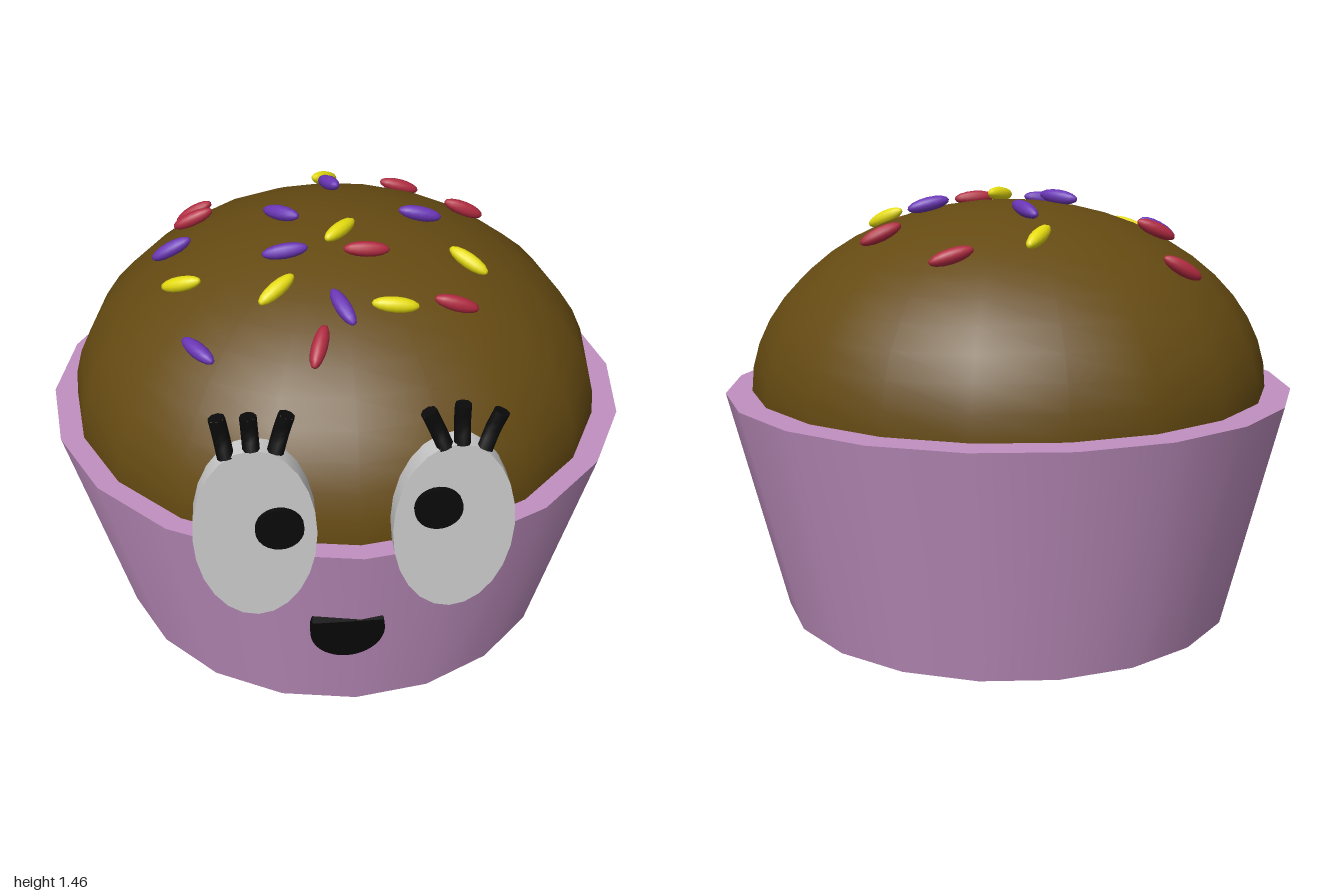
import * as THREE from 'three';

const paint = (color) => new THREE.MeshStandardMaterial({ color });
const pink = paint(0xc090c0), brown = paint(0x654a12), grey = paint(0xcccccc), black = paint(0x0a0a0a);
const red = paint(0xb02a40), yellow = paint(0xe6dc10), purple = paint(0x6a35b5);

const CUP = { top: 0.99, bottom: 0.8, height: 0.78, z: -0.01 };
const DOME = { x: -0.005, z: 0.012, r: 0.905, h: 0.645 };

function add(parent, name, geometry, material, x = 0, y = 0, z = 0) {
  const mesh = new THREE.Mesh(geometry, material);
  mesh.name = name;
  mesh.position.set(x, y, z);
  parent.add(mesh);
  return mesh;
}

// Upright disc facing the front, from z = 0 to z = depth
function disc(rx, ry, depth) {
  return new THREE.CylinderGeometry(1, 1, depth, 24)
    .rotateX(Math.PI / 2).scale(rx, ry, 1).translate(0, 0, depth / 2);
}

// Eye with pupil and three bent lashes; each lash is [baseX, baseY, tipX, tipY]
function addEye(parent, name, x, y, z, pupil, lashes) {
  const eye = new THREE.Group();
  eye.name = name;
  add(eye, 'eyeball', disc(0.178, 0.3, 0.065), grey, x, y, z);
  add(eye, 'pupil', disc(0.07, 0.07, 0.02), black, pupil[0], pupil[1], z + 0.062);
  for (const [bx, by, tx, ty] of lashes) {
    const curve = new THREE.CatmullRomCurve3([
      new THREE.Vector3(bx, by, z + 0.05),
      new THREE.Vector3((bx + tx) / 2, (by + ty) / 2, z + 0.032),
      new THREE.Vector3(tx, ty, z + 0.03),
    ]);
    const lash = add(eye, 'eyelash', new THREE.TubeGeometry(curve, 4, 0.024, 8), black);
    // Flat ends
    for (const [t, side] of [[0, -1], [1, 1]]) {
      const cap = add(lash, 'eyelashEnd', new THREE.CircleGeometry(0.024, 8), black);
      const p = curve.getPointAt(t);
      cap.position.copy(p);
      cap.lookAt(p.clone().addScaledVector(curve.getTangentAt(t), side));
    }
  }
  parent.add(eye);
}

// Sprinkles: [x, z, heading in degrees from +x towards +z, colour]
const SPRINKLES = [
  [-0.48, -0.47, 0, red], [0, -0.485, -50, yellow], [0.28, -0.51, 0, red],
  [0, -0.28, 70, purple], [-0.475, -0.2, 0, red], [0.465, -0.2, 0, red],
  [-0.545, 0, 0, purple], [-0.18, 0, 42, purple], [0.28, 0, 0, purple],
  [0, 0.15, -48, yellow], [-0.51, 0.235, 25, yellow], [-0.18, 0.235, 0, purple],
  [0.075, 0.255, 0, red], [0.405, 0.235, 35, yellow], [-0.215, 0.395, -38, yellow],
  [-0.46, 0.51, 52, purple], [-0.02, 0.49, 65, purple], [0.14, 0.48, 0, yellow],
  [0.335, 0.44, 0, red], [-0.1, 0.605, -70, red],
];

function addSprinkles(parent) {
  const geometry = new THREE.SphereGeometry(1, 12, 8).rotateZ(Math.PI / 2).scale(0.074, 0.025, 0.025);
  for (const [x, z, degrees, material] of SPRINKLES) {
    const dx = x - DOME.x, dz = z - DOME.z;
    const rise = DOME.h * Math.sqrt(1 - (dx * dx + dz * dz) / DOME.r ** 2);
    const a = THREE.MathUtils.degToRad(degrees);
    // Lie along the dome's tangent
    const normal = new THREE.Vector3(dx / DOME.r ** 2, rise / DOME.h ** 2, dz / DOME.r ** 2).normalize();
    const along = new THREE.Vector3(Math.cos(a), 0, Math.sin(a));
    along.y = -(along.x * normal.x + along.z * normal.z) / normal.y;
    along.normalize();
    const across = new THREE.Vector3().crossVectors(along, normal);
    const sprinkle = add(parent, 'sprinkle', geometry, material, x, CUP.height + rise + 0.02, z);
    sprinkle.quaternion.setFromRotationMatrix(new THREE.Matrix4().makeBasis(along, normal, across));
  }
}

export function createModel() {
  const model = new THREE.Group();
  model.name = 'cupcake';

  // Wrapper and cake top
  add(model, 'wrapper', new THREE.CylinderGeometry(CUP.top, CUP.bottom, CUP.height, 20), pink, 0, CUP.height / 2, CUP.z);
  const dome = new THREE.SphereGeometry(1, 20, 12, 0, Math.PI * 2, 0, Math.PI / 2).scale(DOME.r, DOME.h, DOME.r);
  add(model, 'cakeTop', dome, brown, DOME.x, CUP.height, DOME.z);
  addSprinkles(model);

  // Face
  addEye(model, 'rightEye', -0.315, 0.89, 0.915, [-0.245, 0.92],
    [[-0.385, 1.16, -0.405, 1.28], [-0.315, 1.18, -0.32, 1.28], [-0.25, 1.17, -0.215, 1.28]]);
  addEye(model, 'leftEye', 0.26, 0.87, 0.905, [0.21, 0.955],
    [[0.225, 1.15, 0.175, 1.26], [0.27, 1.16, 0.27, 1.28], [0.335, 1.14, 0.38, 1.25]]);

  // Mouth: notched half-ellipse lying on the sloping wrapper
  const smile = new THREE.Shape();
  smile.moveTo(0, 0.005);
  smile.absellipse(0, 0, 0.117, 0.147, Math.PI - 0.35, Math.PI * 2 + 0.35, false);
  smile.closePath();
  const slope = Math.atan((CUP.top - CUP.bottom) / CUP.height);
  const mouthY = 0.425;
  const wallZ = CUP.z + CUP.bottom + (CUP.top - CUP.bottom) * mouthY / CUP.height;
  const mouthGeometry = new THREE.ExtrudeGeometry(smile, { depth: 0.03, bevelEnabled: false, curveSegments: 20 });
  const mouth = add(model, 'mouth', mouthGeometry, black, -0.04, mouthY, wallZ - 0.026);
  mouth.rotation.x = slope;

  return model;
}
